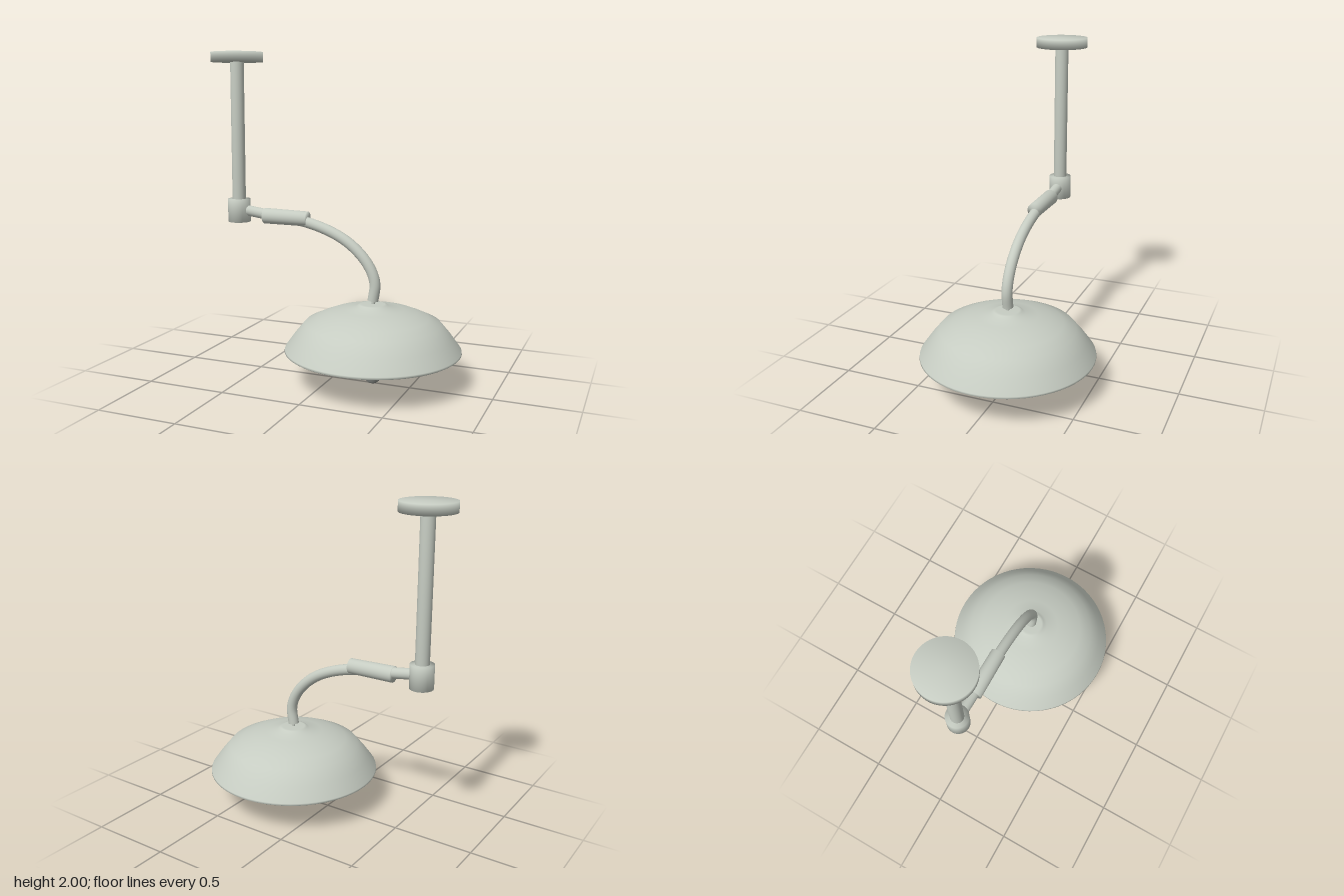
import * as THREE from 'three';

export function createModel() {
  const group = new THREE.Group();
  group.name = 'ceilingExamLamp';

  const material = (name, color, side = THREE.FrontSide) => {
    const m = new THREE.MeshStandardMaterial({ color, side });
    m.name = name;
    return m;
  };
  const enamel = material('paleGreyEnamel', 0xc6ccc2, THREE.DoubleSide);
  const dark = material('darkPanel', 0x454846);
  const grey = material('handleGrey', 0x848783);

  const postX = -0.64, lampX = 0.264;

  const add = (name, geometry, mat, x = 0, y = 0, z = 0) => {
    const mesh = new THREE.Mesh(geometry, mat);
    mesh.name = name;
    mesh.position.set(x, y, z);
    group.add(mesh);
    return mesh;
  };
  // Smoothly shaded turned part from [radius, height] pairs, listed bottom to top
  const turned = (points) =>
    new THREE.LatheGeometry(points.map(([r, y]) => new THREE.Vector2(r, y)), 64);
  // Soft-edged upright cylinder between two heights
  const post = (name, r, y0, y1, mat, x, z = 0) =>
    add(name, turned([[0, y0], [r, y0], [r, y1], [0, y1]]), mat, x, 0, z);
  // Thin flat disc with sharp edges
  const disc = (name, r, y0, y1, mat, x, z = 0) =>
    add(name, new THREE.CylinderGeometry(r, r, y1 - y0, 48), mat, x, (y0 + y1) / 2, z);

  // Ceiling mount, drop post and swivel joint
  post('ceilingMount', 0.162, 1.94, 2, enamel, postX);
  post('dropPost', 0.042, 1.05, 1.95, enamel, postX);
  post('swivelJoint', 0.071, 0.945, 1.09, enamel, postX);

  // Curved arm, closed at its lower end and pinned to the lamp head
  const path = new THREE.CatmullRomCurve3([
    [-0.62, 1.024], [-0.45, 1.0], [-0.17, 0.965], [0, 0.912], [0.11, 0.852],
    [0.205, 0.765], [0.258, 0.68], [0.275, 0.61], [0.263, 0.515],
  ].map(([x, y]) => new THREE.Vector3(x, y, 0)));
  add('curvedArm', new THREE.TubeGeometry(path, 64, 0.033, 20), enamel);
  const cap = add('armEnd', new THREE.CircleGeometry(0.033, 20), enamel, 0.263, 0.515);
  cap.quaternion.setFromUnitVectors(new THREE.Vector3(0, 0, 1), path.getTangent(1));
  post('armPin', 0.01, 0.48, 0.53, enamel, lampX);

  // Sleeve around the arm
  const sleeve = add('armSleeve', turned([
    [0, -0.146], [0.046, -0.146], [0.049, 0.146], [0, 0.146],
  ]), enamel, -0.312, 0.989);
  sleeve.rotation.z = Math.PI / 2 - 0.015;

  // Domed lamp head with a rolled rim
  add('lampDome', turned([
    [0.497, 0.212], [0.505, 0.206], [0.526, 0.205], [0.535, 0.211], [0.533, 0.222],
    [0.475, 0.302], [0.41, 0.38], [0.335, 0.415], [0.26, 0.445], [0.18, 0.462],
    [0.105, 0.476], [0.085, 0.492], [0.07, 0.495], [0, 0.495],
  ]), enamel, lampX);

  // Dark underside with six lenses around a centre one
  disc('undersidePanel', 0.5, 0.21, 0.218, dark, lampX);
  for (let i = 0; i < 6; i++) {
    const a = i * Math.PI / 3;
    disc('lens', 0.114, 0.206, 0.213, enamel, lampX + 0.277 * Math.cos(a), 0.277 * Math.sin(a));
  }
  disc('centreLens', 0.092, 0.206, 0.213, enamel, lampX);

  // Handle below the lamp
  post('handleShaft', 0.03, 0.1, 0.212, grey, lampX);
  add('handleGrip', turned([
    [0, 0], [0.025, 0.004], [0.04, 0.016], [0.047, 0.055], [0.043, 0.088],
    [0.038, 0.12], [0, 0.12],
  ]), grey, lampX);

  return group;
}
